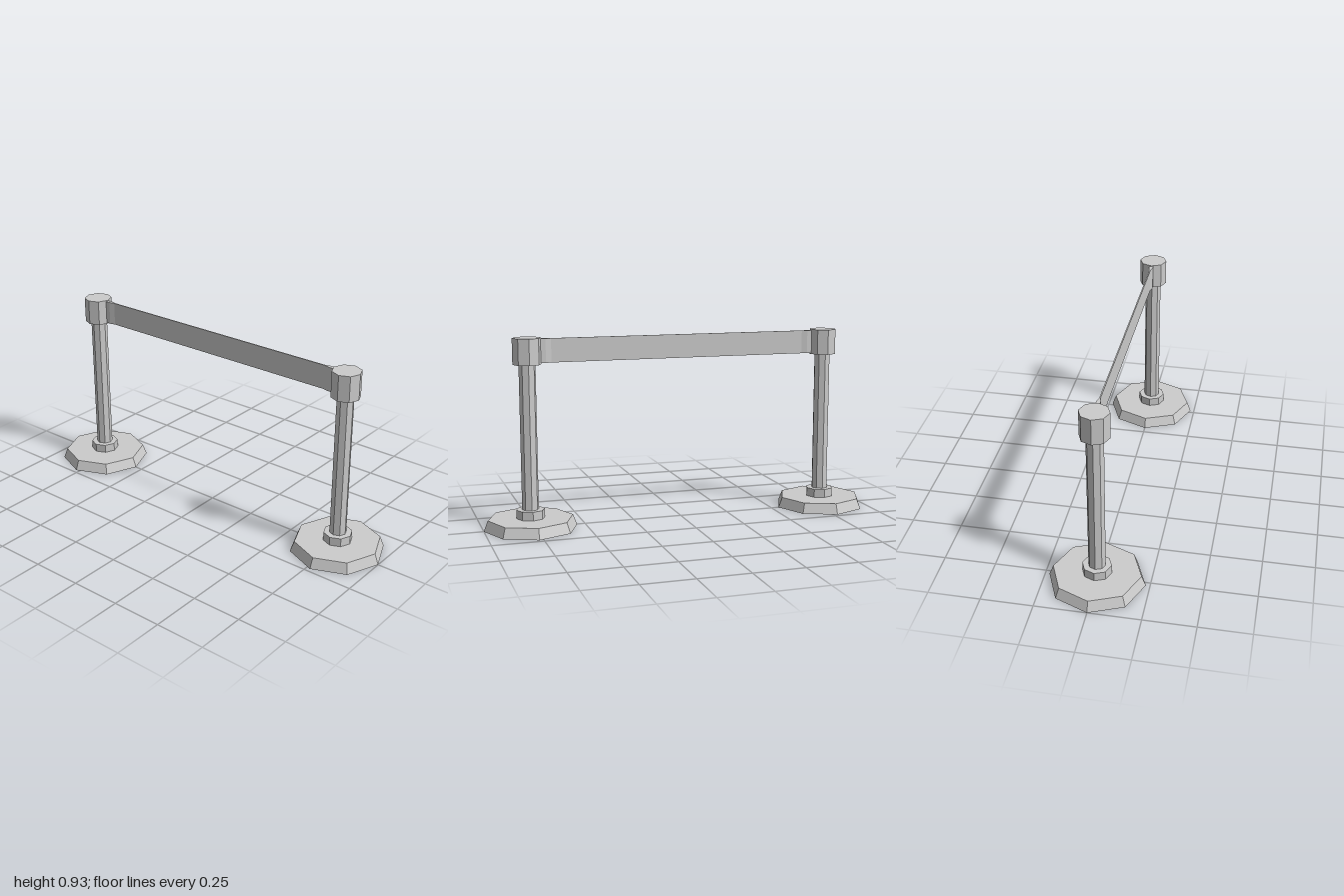
import * as THREE from 'three';

const POST_X = 0.77;
const material = new THREE.MeshStandardMaterial({ color: 0xcccccc, flatShading: true });

// Eight-sided drum between two heights
function drum(name, rTop, rBottom, y0, y1) {
  const mesh = new THREE.Mesh(new THREE.CylinderGeometry(rTop, rBottom, y1 - y0, 8), material);
  mesh.position.y = (y0 + y1) / 2;
  mesh.name = name;
  return mesh;
}

// Plan outline (x, z) raised between two heights
function slab(name, outline, y0, y1) {
  const shape = new THREE.Shape(outline.map(([x, z]) => new THREE.Vector2(x, -z)));
  const geometry = new THREE.ExtrudeGeometry(shape, { depth: y1 - y0, bevelEnabled: false });
  geometry.rotateX(-Math.PI / 2).translate(0, y0, 0);
  const mesh = new THREE.Mesh(geometry, material);
  mesh.name = name;
  return mesh;
}

function createPost(name) {
  const post = new THREE.Group();
  post.name = name;
  post.add(
    drum('base', 0.21, 0.23, 0, 0.052),
    drum('collar', 0.07, 0.07, 0.052, 0.095),
    drum('pole', 0.041, 0.041, 0.095, 0.805),
    drum('beltHousing', 0.07, 0.07, 0.805, 0.932),
    // Clip narrowing from the housing to the belt
    slab('beltClip', [
      [0.06, 0.01], [0.09, 0.01], [0.118, 0.003],
      [0.118, -0.003], [0.09, -0.01], [0.06, -0.01],
    ], 0.81, 0.927),
  );
  return post;
}

export function createModel() {
  const model = new THREE.Group();
  model.name = 'queueBarrier';

  // Two posts, turned to face each other
  for (const side of [-1, 1]) {
    const post = createPost(side < 0 ? 'rightPost' : 'leftPost');
    post.position.x = side * POST_X;
    post.rotation.y = side < 0 ? 0 : Math.PI;
    model.add(post);
  }

  // Flat belt stretched between the clips
  const end = POST_X - 0.118;
  model.add(slab('belt', [[-end, 0.003], [end, 0.003], [end, -0.003], [-end, -0.003]], 0.81, 0.927));
  return model;
}
